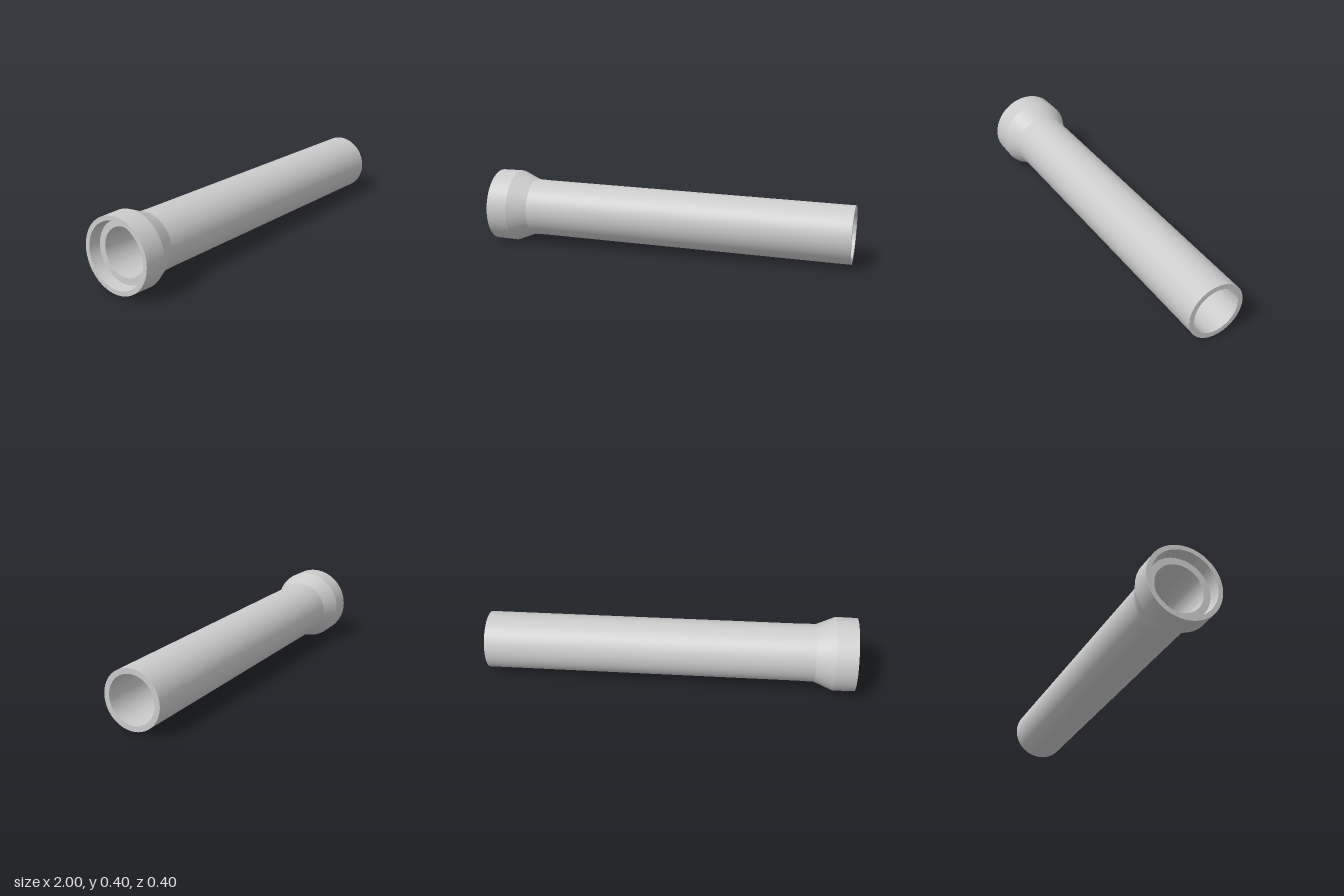
import * as THREE from 'three';
import { toCreasedNormals } from 'three/addons/utils/BufferGeometryUtils.js';

export function createModel() {
  const group = new THREE.Group();
  group.name = 'socketPipe';
  const material = new THREE.MeshStandardMaterial({ color: 0xcccccc });

  // Closed wall profile as [radius, position along the axis]
  const profile = [
    [0.127, -0.937], // bore, at the socket shoulder
    [0.162, -0.937],
    [0.172, -0.9965], // socket mouth
    [0.196, -0.9965],
    [0.198, -0.88], // end of the bell
    [0.156, -0.78], // neck
    [0.154, -0.7],
    [0.154, 0.9973], // plain end
    [0.126, 0.9973],
    [0.127, -0.937],
  ].map(([r, y]) => new THREE.Vector2(r, y));

  const pipe = new THREE.Mesh(
    toCreasedNormals(new THREE.LatheGeometry(profile, 96), 0.35),
    material
  );
  pipe.name = 'pipe';

  // Lay the pipe down along x, resting on the bell and falling towards the plain end
  pipe.rotation.z = -Math.PI / 2 - 0.0176;
  pipe.position.y = 0.1825;
  group.add(pipe);
  return group;
}
